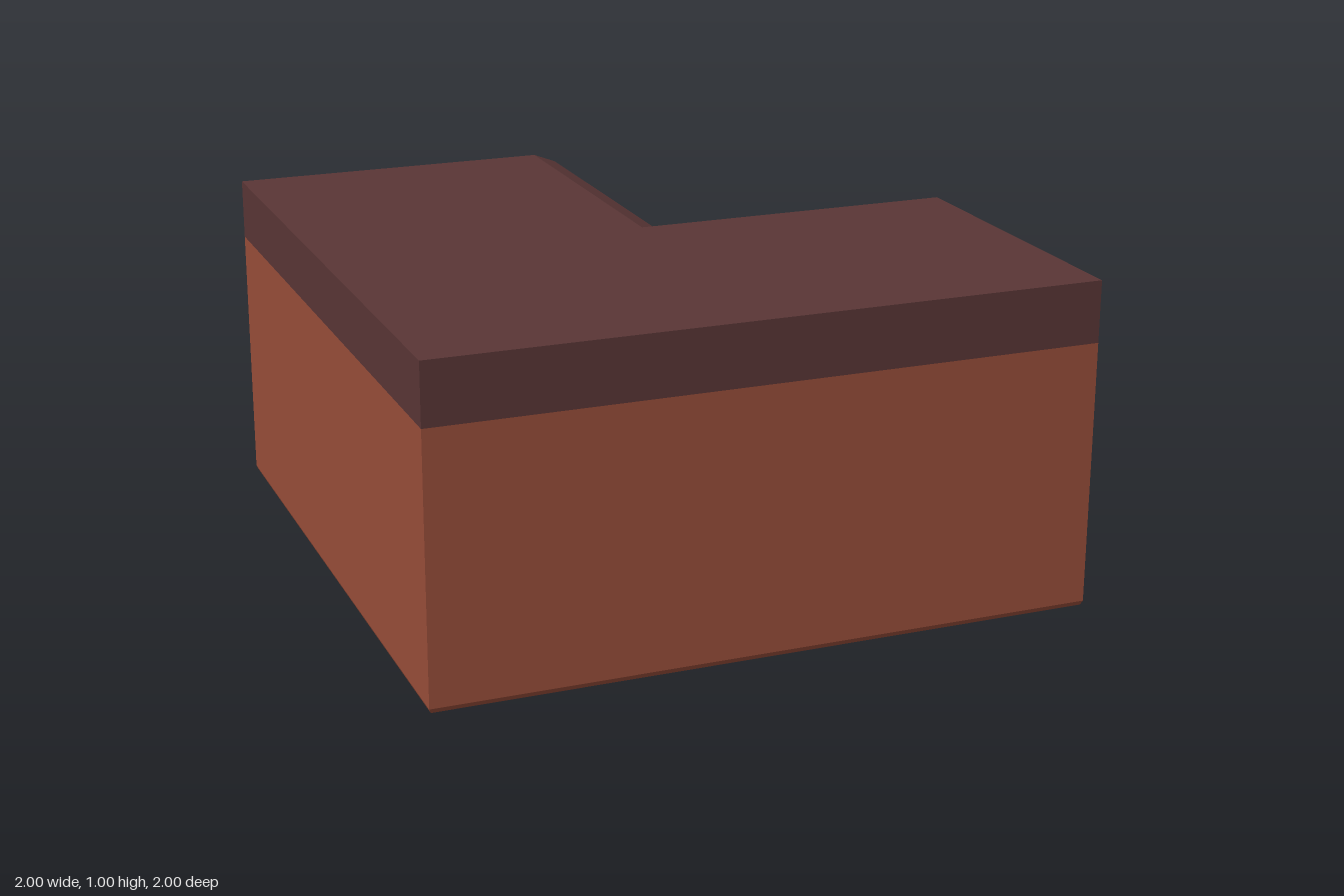
import * as THREE from 'three';

const wood = new THREE.MeshStandardMaterial({ color: 0x994e3a });
const dark = new THREE.MeshStandardMaterial({ color: 0x5a3636 });
const metal = new THREE.MeshStandardMaterial({ color: 0x999b97 });

function mesh(name, geometry, material) {
  const m = new THREE.Mesh(geometry, material);
  m.name = name;
  return m;
}

// Stack of L-shaped outlines. Each level: [inset of outer walls, overhang into the notch, y]
function loftL(levels, flare = 0) {
  const pos = [];
  const rings = levels.map(([e, o, y]) => {
    const r = 1 - e;
    return [[-r, r], [r, r], [r, -o * (1 + flare)], [o, -o], [o, -r], [-r, -r]]
      .map(([x, z]) => [x, y, z]);
  });
  const tri = (a, b, c) => pos.push(...a, ...b, ...c);
  for (let k = 0; k < rings.length - 1; k++) {
    const lo = rings[k], hi = rings[k + 1];
    for (let i = 0; i < 6; i++) {
      const j = (i + 1) % 6;
      tri(lo[i], lo[j], hi[j]);
      tri(lo[i], hi[j], hi[i]);
    }
  }
  const bottom = rings[0], top = rings[rings.length - 1];
  for (const [a, b, c] of [[0, 1, 2], [0, 2, 3], [0, 3, 5], [3, 4, 5]]) {
    tri(top[a], top[b], top[c]);
    tri(bottom[a], bottom[c], bottom[b]);
  }
  const g = new THREE.BufferGeometry();
  g.setAttribute('position', new THREE.Float32BufferAttribute(pos, 3));
  g.computeVertexNormals();
  return g;
}

// Door with its handle, facing +z; s = 1 or -1 chooses the hand
function cabinetDoor(s) {
  const door = new THREE.Group();
  door.name = s > 0 ? 'sideDoor' : 'backDoor';

  // Rounded panel
  const x0 = 0.07, x1 = 0.92, y0 = 0.07, y1 = 0.8, r = 0.075;
  const panel = new THREE.Shape();
  panel.moveTo(s * (x0 + r), y0);
  panel.lineTo(s * (x1 - r), y0);
  panel.quadraticCurveTo(s * x1, y0, s * x1, y0 + r);
  panel.lineTo(s * x1, y1 - r);
  panel.quadraticCurveTo(s * x1, y1, s * (x1 - r), y1);
  panel.lineTo(s * (x0 + r), y1);
  panel.quadraticCurveTo(s * x0, y1, s * x0, y1 - r);
  panel.lineTo(s * x0, y0 + r);
  panel.quadraticCurveTo(s * x0, y0, s * (x0 + r), y0);
  door.add(mesh('doorPanel', new THREE.ExtrudeGeometry(panel, {
    depth: 0.018, bevelEnabled: false, curveSegments: 6,
  }), dark));

  // Wavy lever handle: round head near the corner, tapering tail
  const outline = [
    [0.565, 0.68], [0.5, 0.708], [0.43, 0.722], [0.37, 0.708], [0.31, 0.69], [0.25, 0.68], [0.21, 0.661],
    [0.175, 0.655], [0.147, 0.666], [0.138, 0.69], [0.147, 0.715], [0.175, 0.727], [0.205, 0.718],
    [0.24, 0.692], [0.3, 0.694], [0.36, 0.714], [0.43, 0.728], [0.5, 0.714],
  ].map(([x, y]) => new THREE.Vector2(s * x, y));
  const lever = new THREE.Shape();
  lever.moveTo(outline[0].x, outline[0].y);
  lever.splineThru([...outline.slice(1), outline[0].clone()]);
  const leverGeo = new THREE.ExtrudeGeometry(lever, {
    depth: 0.012, bevelThickness: 0.006, bevelSize: 0.005, bevelSegments: 2, curveSegments: 48,
  });
  leverGeo.translate(0, 0, 0.046);
  door.add(mesh('handleLever', leverGeo, metal));

  const stem = mesh('handleStem', new THREE.CylinderGeometry(0.022, 0.026, 0.032, 16), metal);
  stem.rotation.x = Math.PI / 2;
  stem.position.set(s * 0.175, 0.69, 0.03);
  door.add(stem);
  return door;
}

export function createModel() {
  const model = new THREE.Group();
  model.name = 'cornerCounter';

  // Cabinet body with softened bottom edge
  model.add(mesh('cabinetBody', loftL([
    [0.02, -0.02, 0], [0.006, -0.006, 0.006], [0, 0, 0.02], [0, 0, 0.815],
  ]), wood));

  // Countertop with a faceted overhang along the notch
  model.add(mesh('countertop', loftL([
    [0, 0, 0.815], [0, 0.07, 0.84], [0, 0.092, 0.905], [0, 0.072, 0.972], [0, 0, 1],
  ], 0.07), dark));

  // One door on each wall of the notch
  const side = cabinetDoor(1);
  side.rotation.y = Math.PI / 2;
  const back = cabinetDoor(-1);
  back.rotation.y = Math.PI;
  model.add(side, back);
  return model;
}
